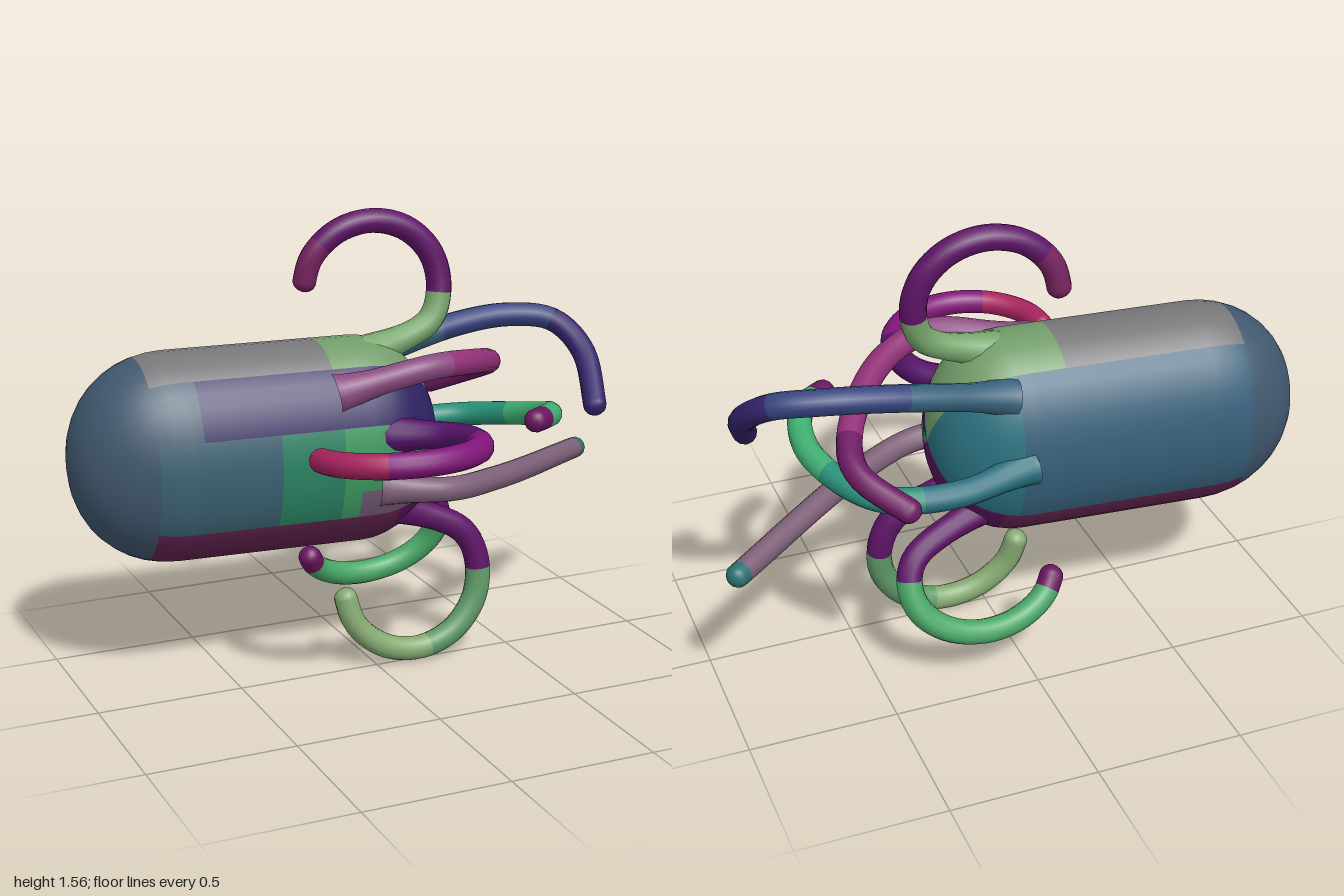
import * as THREE from 'three';

const vec = (x, y, z) => new THREE.Vector3(x, y, z);

// Closed rings of points skinned into a smooth surface, split into coloured zones.
function skin(name, rows, cols, point, colorAt) {
  const pos = [], zones = new Map(), all = [];
  for (let i = 0; i <= rows; i++)
    for (let j = 0; j < cols; j++) pos.push(...point(i, (j / cols) * Math.PI * 2).toArray());
  for (let i = 0; i < rows; i++)
    for (let j = 0; j < cols; j++) {
      const k = (j + 1) % cols;
      const a = i * cols + j, b = i * cols + k, c = a + cols, d = b + cols;
      const faces = [a, c, b, b, c, d];
      all.push(...faces);
      const color = colorAt(i + 0.5, ((j + 0.5) / cols) * Math.PI * 2);
      if (!zones.has(color)) zones.set(color, []);
      zones.get(color).push(...faces);
    }
  const base = new THREE.BufferGeometry();
  base.setAttribute('position', new THREE.Float32BufferAttribute(pos, 3));
  base.setIndex(all);
  base.computeVertexNormals();
  const group = new THREE.Group();
  group.name = name;
  for (const [color, index] of zones) {
    base.setIndex(index);
    const mesh = new THREE.Mesh(base.toNonIndexed(), new THREE.MeshStandardMaterial({ color }));
    mesh.name = name + 'Zone';
    group.add(mesh);
  }
  return group;
}

// Long oval body with rounded ends, lying along x and slightly turned.
function makeBody() {
  const cap = 10, mid = 30, rows = cap * 2 + mid;
  const ring = (i) => {
    if (i >= cap && i <= cap + mid) return [-0.67 + (0.64 * (i - cap)) / mid, 1];
    const t = (Math.min(i, rows - i) / cap) * Math.PI / 2;
    const x = i < cap ? -0.67 - 0.33 * Math.cos(t) : -0.03 + 0.28 * Math.cos(t);
    return [x, Math.max(Math.sin(t) ** 0.9, 0.001)];
  };
  const point = (i, a) => {
    const [x, r] = ring(i);
    return vec(x, 0.787 + 0.358 * r * Math.sin(a), -0.145 + 0.08 * x + 0.265 * r * Math.cos(a));
  };
  const colorAt = (i, a) => {
    const x = ring(i)[0], s = Math.sin(a), c = Math.cos(a);
    if (x < -0.75) return 0x41586f;
    if (s > 0.8) return x > -0.15 ? 0x739c6a : 0x77777a;
    if (s < -0.6) return x > 0.05 ? 0x5a1560 : 0x652552;
    if (c < 0) return x > 0 ? 0x2a7280 : 0x36607a;
    if (s > 0.35) return x > -0.62 ? 0x2e2163 : 0x41586f;
    if (s < -0.25 && x > -0.1) return 0x765a76;
    return x > -0.15 ? 0x3f9a62 : x > -0.38 ? 0x2a8464 : 0x3c6272;
  };
  return skin('body', rows, 40, point, colorAt);
}

// Tapering arm along a path: flared root, rounded tip, colours given as [until, colour].
function makeArm(name, path, colors, r = 0.046) {
  const curve = new THREE.CatmullRomCurve3(path);
  const len = curve.getLength(), rows = 56, tip = (r * 0.8) / len;
  const uAt = (i) => (i <= 48 ? (i / 48) * (1 - tip) : 1 - tip + tip * Math.sin(((i - 48) / 8) * Math.PI / 2));
  const rings = [], N = vec(0.31, 0.83, 0.46);
  for (let i = 0; i <= rows; i++) {
    const u = uAt(i), T = curve.getTangentAt(u);
    N.addScaledVector(T, -N.dot(T)).normalize();
    const flare = 1 + 0.5 * Math.max(0, 1 - (u * len) / 0.2) ** 2;
    const end = Math.sqrt(Math.max(0.0005, 1 - Math.max(0, (u - 1 + tip) / tip) ** 2));
    rings.push({ p: curve.getPointAt(u), n: N.clone(), b: vec().crossVectors(N, T), r: r * flare * (1 - 0.12 * u) * end });
  }
  const point = (i, a) => {
    const q = rings[i];
    return q.p.clone().addScaledVector(q.n, q.r * Math.cos(a)).addScaledVector(q.b, q.r * Math.sin(a));
  };
  return skin(name, rows, 12, point, (i) => colors.find(([until]) => uAt(i) <= until)[1]);
}

// Hooked path: from a root onto an elliptic arc spanned by x and a second axis, sliding along z.
function hook(root, center, rx, axis, from, to, slide) {
  const path = [root];
  for (let k = 0; k <= 7; k++) {
    const a = THREE.MathUtils.degToRad(from + ((to - from) * k) / 7);
    path.push(center.clone().addScaledVector(axis, Math.sin(a)).add(vec(rx * Math.cos(a), 0, (slide * k) / 7)));
  }
  return path;
}

export function createModel() {
  const model = new THREE.Group();
  model.name = 'tentacledCreature';
  model.add(makeBody());

  // Hooked arms
  model.add(
    makeArm('topArm',
      hook(vec(0.02, 1.08, -0.13), vec(0.065, 1.3, -0.14), 0.235, vec(0, 0.222, 0), -35, 182, -0.095),
      [[0.33, 0x78a66e], [0.85, 0x5f1468], [1, 0x76225f]]),
    makeArm('frontArm',
      hook(vec(0.02, 0.85, 0.06), vec(-0.07, 0.875, 0.31), 0.275, vec(0, 0.025, 0.25), -26, 182, -0.01),
      [[0.35, 0x55126a], [0.75, 0x82157a], [1, 0xa8225f]]),
    makeArm('lowerFrontArm',
      hook(vec(0.06, 0.57, -0.05), vec(0.14, 0.29, 0), 0.25, vec(0, -0.243, 0.03), -40, 180, -0.04),
      [[0.36, 0x5f1468], [0.65, 0x5f9a68], [1, 0x86aa72]]),
    makeArm('lowerBackArm',
      hook(vec(0.06, 0.57, -0.22), vec(0.13, 0.37, -0.34), 0.26, vec(0, -0.18, -0.09), -30, 168, 0.03),
      [[0.36, 0x5f1468], [0.93, 0x4aa868], [1, 0x6a1560]]),
  );

  // Arms reaching forward past the end of the body
  model.add(
    makeArm('upperBackArm',
      [vec(0.02, 1, -0.3), vec(0.45, 1.1, -0.33), vec(0.66, 1.12, -0.31), vec(0.8, 1.1, -0.25),
        vec(0.86, 1.01, -0.14), vec(0.81, 0.83, 0.06)],
      [[0.3, 0x36607a], [0.65, 0x36447e], [1, 0x35246c]]),
    makeArm('upperFrontArm',
      [vec(-0.16, 1, 0.03), vec(0.15, 1.07, 0.085), vec(0.35, 1.05, 0), vec(0.55, 0.97, -0.26),
        vec(0.58, 0.91, -0.42), vec(0.44, 0.82, -0.59)],
      [[0.3, 0x8a4a80], [0.7, 0x923178], [1, 0x6e1a64]]),
    makeArm('middleBackArm',
      [vec(-0.02, 0.78, -0.37), vec(0.25, 0.75, -0.41), vec(0.5, 0.76, -0.35), vec(0.64, 0.81, -0.1),
        vec(0.61, 0.86, 0.09), vec(0.48, 0.87, 0.19)],
      [[0.33, 0x2a7280], [0.6, 0x279078], [0.93, 0x3fae70], [1, 0x6a1560]]),
    makeArm('straightArm',
      [vec(-0.02, 0.67, 0.06), vec(0.2, 0.65, 0.115), vec(0.45, 0.63, 0.01), vec(0.99, 0.575, -0.37)],
      [[0.95, 0x7d6078], [1, 0x2a7070]], 0.044),
  );
  return model;
}
